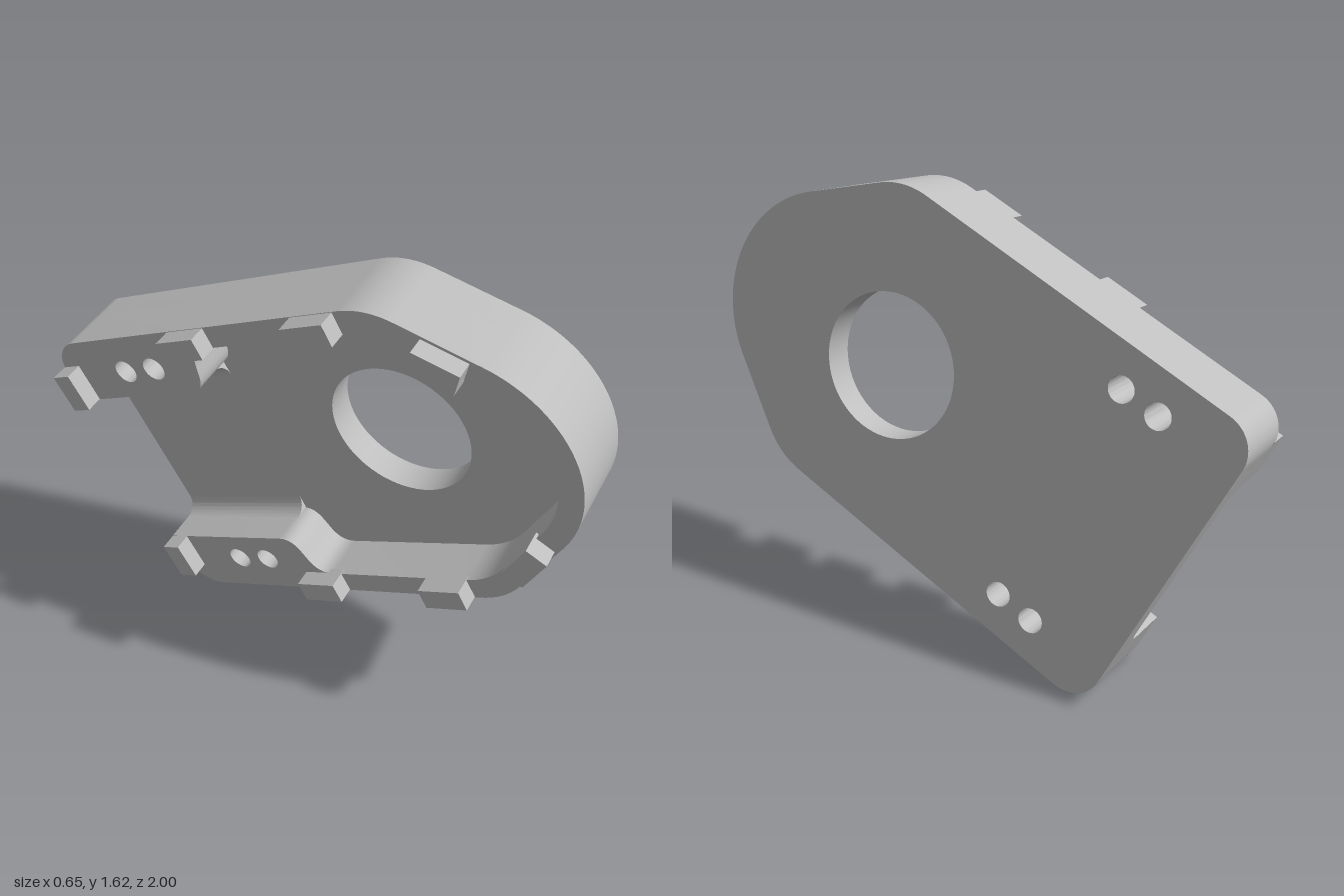
import * as THREE from 'three';
import { toCreasedNormals } from 'three/addons/utils/BufferGeometryUtils.js';

const HALF = 0.585, REAR = -1.18, CORNER = 0.12;   // outline
const DEPTH = 0.286, FLOOR = 0.11;                 // total depth, plate thickness
const NOSE_Y = 0.28, NOSE_A = 0.663;               // centre and start angle of the round nose
const LEG = 0.338;                                 // inner side of the rear legs

// Right-to-left outer contour, starting on the rear edge
function outerContour(path) {
  path.lineTo(HALF - CORNER, REAR);
  path.absarc(HALF - CORNER, REAR + CORNER, CORNER, -Math.PI / 2, 0, false);
  path.lineTo(HALF, 0.146);
  path.quadraticCurveTo(HALF, 0.246, 0.523, 0.325);
  path.absarc(0, NOSE_Y, 0.44, NOSE_A, Math.PI - NOSE_A, false);
  path.lineTo(-0.523, 0.325);
  path.quadraticCurveTo(-HALF, 0.246, -HALF, 0.146);
  path.lineTo(-HALF, REAR + CORNER);
  path.absarc(-HALF + CORNER, REAR + CORNER, CORNER, Math.PI, Math.PI * 1.5, false);
}

function addHole(shape, x, y, r) {
  const hole = new THREE.Path();
  hole.absarc(x, y, r, 0, Math.PI * 2, true);
  shape.holes.push(hole);
}

function addScrewHoles(shape) {
  for (const s of [-1, 1]) for (const y of [-0.736, -0.878]) addHole(shape, s * 0.445, y, 0.045);
}

function extrude(shape, depth) {
  const geo = new THREE.ExtrudeGeometry(shape, { depth, bevelEnabled: false, curveSegments: 32 });
  return toCreasedNormals(geo, 0.5);
}

export function createModel() {
  const model = new THREE.Group();
  model.name = 'housing';
  const grey = new THREE.MeshStandardMaterial({ color: 0xbfbfbf });
  grey.name = 'light grey';

  const add = (name, geo, x = 0, y = 0, z = 0) => {
    const mesh = new THREE.Mesh(geo, grey);
    mesh.name = name;
    mesh.position.set(x, y, z);
    model.add(mesh);
    return mesh;
  };

  // Face plate with the large bore and four screw holes
  const plate = new THREE.Shape();
  plate.moveTo(0, REAR);
  outerContour(plate);
  plate.closePath();
  addHole(plate, 0, 0, 0.257);
  addScrewHoles(plate);
  add('facePlate', extrude(plate, FLOOR), 0, 0, -FLOOR);

  // Side wall, open at the rear, widening into two legs
  const wall = new THREE.Shape();
  wall.moveTo(LEG, REAR);
  outerContour(wall);
  wall.lineTo(-LEG, REAR);
  wall.lineTo(-LEG, -0.62);
  wall.bezierCurveTo(-LEG, -0.5, -0.505, -0.58, -0.505, -0.45);
  wall.lineTo(-0.505, 0.118);
  wall.quadraticCurveTo(-0.505, 0.218, -0.443, 0.297);
  wall.absarc(0, NOSE_Y, 0.36, Math.PI - NOSE_A, NOSE_A, true);
  wall.lineTo(0.443, 0.297);
  wall.quadraticCurveTo(0.505, 0.218, 0.505, 0.118);
  wall.lineTo(0.505, -0.45);
  wall.bezierCurveTo(0.505, -0.58, LEG, -0.5, LEG, -0.62);
  wall.closePath();
  addScrewHoles(wall);
  add('sideWall', extrude(wall, DEPTH - FLOOR), 0, 0, -DEPTH);

  for (const s of [-1, 1]) {
    // Rounded inside corner between leg and plate
    const r = 0.06, f = new THREE.Shape();
    f.moveTo(s * LEG, -FLOOR);
    f.lineTo(s * (LEG - r), -FLOOR);
    f.absarc(s * (LEG - r), -FLOOR - r, r, Math.PI / 2, s > 0 ? 0 : Math.PI, s > 0);
    f.closePath();
    const fillet = extrude(f, -REAR - 0.6);
    fillet.rotateX(Math.PI / 2);
    add('legFillet', fillet, 0, -0.6, 0);

    // Locating tabs on the rim
    const h = 0.085, z = -DEPTH - 0.065 + h / 2;
    add('rearTab', new THREE.BoxGeometry(0.15, 0.08, h), s * 0.414, REAR + 0.04, z);
    for (const y of [-0.494, 0.045])
      add('sideTab', new THREE.BoxGeometry(0.08, 0.165, h), s * 0.543, y, z);
    add('noseTab', new THREE.BoxGeometry(0.08, 0.16, h), s * 0.38, 0.427, z).rotation.z = s * 0.663;
  }

  // Tilt the whole housing: local x = width, y = length, z = outward normal
  const n = new THREE.Vector3(1, 0.1418, -0.1458).normalize();
  const u = new THREE.Vector3(0.0746, 0.409, 0.909);
  u.addScaledVector(n, -u.dot(n)).normalize();
  const v = new THREE.Vector3().crossVectors(u, n);
  model.quaternion.setFromRotationMatrix(new THREE.Matrix4().makeBasis(v, u, n));
  model.position.set(0.1955, 1.003, 0.275);

  const root = new THREE.Group();
  root.name = 'tiltedHousing';
  root.add(model);
  return root;
}
